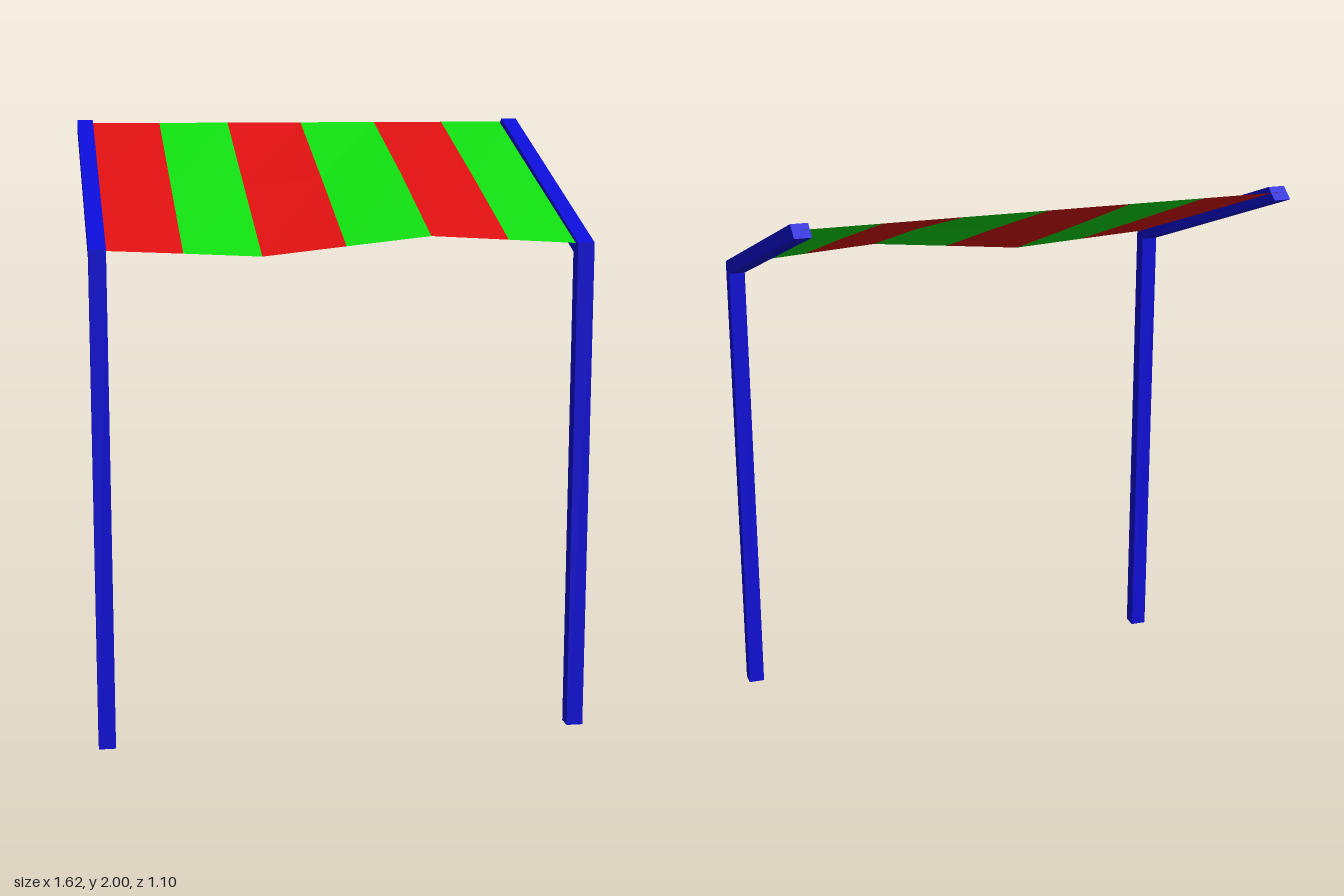
import * as THREE from 'three';

const blue = new THREE.MeshStandardMaterial({ color: 0x0d0dd8 });
const red = new THREE.MeshStandardMaterial({ color: 0xdd1010, side: THREE.DoubleSide, flatShading: true });
const green = new THREE.MeshStandardMaterial({ color: 0x10dd10, side: THREE.DoubleSide, flatShading: true });

const BAR = 0.055; // bar width across x
const BAR_X = 0.785; // centre line of each side frame

// Bar whose side outline is given as [z, y] points, extruded across x
function bar(name, outline, x) {
  const shape = new THREE.Shape(outline.map(([z, y]) => new THREE.Vector2(z, y)));
  const geo = new THREE.ExtrudeGeometry(shape, { depth: BAR, bevelEnabled: false });
  geo.translate(0, 0, -BAR / 2).rotateY(-Math.PI / 2).translate(x, 0, 0);
  const mesh = new THREE.Mesh(geo, blue);
  mesh.name = name;
  return mesh;
}

// One cloth stripe between two columns of [x, y, z] points running front to back
function stripe(name, a, b, material) {
  const pos = [];
  for (let i = 0; i < a.length - 1; i++) {
    pos.push(...a[i], ...b[i], ...b[i + 1], ...a[i], ...b[i + 1], ...a[i + 1]);
  }
  const geo = new THREE.BufferGeometry();
  geo.setAttribute('position', new THREE.Float32BufferAttribute(pos, 3));
  geo.computeVertexNormals();
  const mesh = new THREE.Mesh(geo, material);
  mesh.name = name;
  return mesh;
}

export function createModel() {
  const model = new THREE.Group();
  model.name = 'awning';

  // Side frames: upright post with a slanted top, and the sloping rail it carries
  const topFront = [0.548, 1.63];
  const topBack = [0.495, 1.597];
  for (const [side, s] of [['left', 1], ['right', -1]]) {
    const frame = new THREE.Group();
    frame.name = side + 'Frame';
    frame.add(
      bar('post', [[0.495, 0], [0.548, 0], topFront, topBack], s * BAR_X),
      bar('rail', [topBack, topFront, [-0.502, 2], [-0.55, 1.966]], s * BAR_X)
    );
    model.add(frame);
  }

  // Canopy: straight back edge, gently waving front edge
  const xs = [-0.785, -0.515, -0.265, 0.005, 0.28, 0.535, 0.785];
  const frontY = [1.623, 1.61, 1.597, 1.626, 1.655, 1.64, 1.625];
  const midY = [1.806, 1.799, 1.792, 1.811, 1.83, 1.818, 1.807];
  const columns = xs.map((x, i) => [
    [x, frontY[i], 0.52],
    [x, midY[i], -0.01],
    [x, 1.988, -0.535],
  ]);
  const canopy = new THREE.Group();
  canopy.name = 'canopy';
  for (let i = 0; i < xs.length - 1; i++) {
    canopy.add(stripe('stripe' + (i + 1), columns[i], columns[i + 1], i % 2 ? green : red));
  }
  model.add(canopy);

  return model;
}
